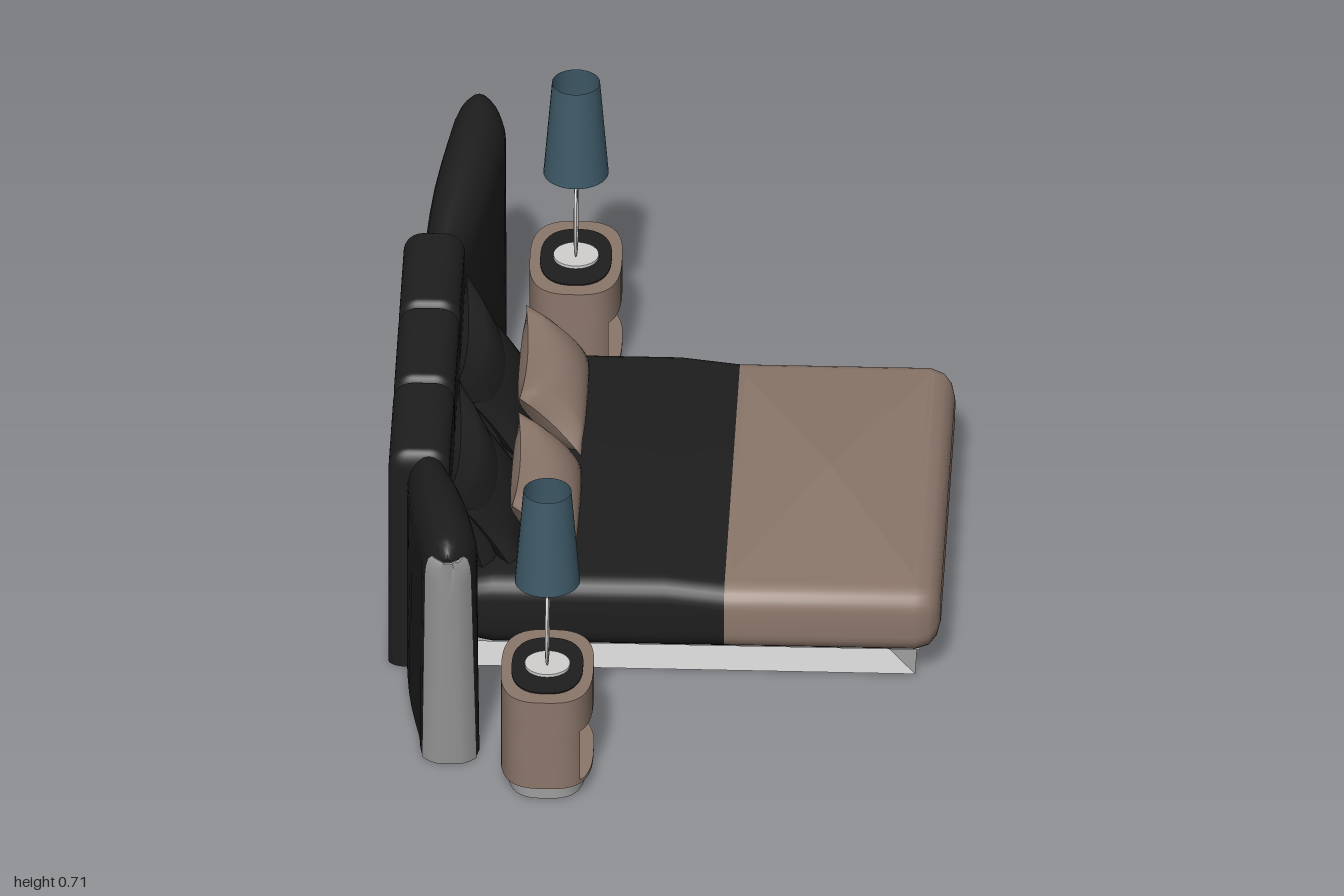
import * as THREE from 'three';
import { toCreasedNormals } from 'three/addons/utils/BufferGeometryUtils.js';
import { RoundedBoxGeometry } from 'three/addons/geometries/RoundedBoxGeometry.js';

const MID = -0.018; // centre line of the bed in z

const mat = (name, color, side = THREE.FrontSide) => {
  const m = new THREE.MeshStandardMaterial({ color, side });
  m.name = name;
  return m;
};
const black = mat('black fabric', 0x1e1e1e);
const brown = mat('taupe fabric', 0x8c776b);
const grey = mat('grey metal', 0x9e9e9e, THREE.DoubleSide);
const teal = mat('teal shade', 0x3e5a68, THREE.DoubleSide);
const pale = mat('pale lamp metal', 0xd2d0ce);

function add(parent, name, geometry, material, x = 0, y = 0, z = 0) {
  const mesh = new THREE.Mesh(geometry, material);
  mesh.name = name;
  mesh.position.set(x, y, z);
  parent.add(mesh);
  return mesh;
}

// Closed solid through equal-length rings of [x, y, z] points, with both ends capped
function loft(rings, crease = 0.7) {
  const n = rings[0].length, pts = rings.flat(), idx = [];
  for (let r = 0; r < rings.length - 1; r++) {
    for (let i = 0; i < n; i++) {
      const a = r * n + i, b = r * n + (i + 1) % n;
      idx.push(a, b, b + n, a, b + n, a + n);
    }
  }
  [0, rings.length - 1].forEach((r) => {
    const c = pts.length;
    pts.push([0, 1, 2].map((k) => rings[r].reduce((s, p) => s + p[k], 0) / n));
    for (let i = 0; i < n; i++) {
      const a = r * n + i, b = r * n + (i + 1) % n;
      idx.push(...(r ? [a, b, c] : [b, a, c]));
    }
  });
  // turn the faces outward when the enclosed volume comes out negative
  const v = pts.map((p) => new THREE.Vector3(...p));
  let volume = 0;
  for (let i = 0; i < idx.length; i += 3) {
    volume += v[idx[i]].dot(new THREE.Vector3().crossVectors(v[idx[i + 1]], v[idx[i + 2]]));
  }
  if (volume < 0) idx.reverse();
  const g = new THREE.BufferGeometry().setFromPoints(v);
  g.setIndex(idx);
  return toCreasedNormals(g, crease);
}

// Rounded rectangle of [a, b] pairs running round the corners
function roundRect(a0, a1, b0, b1, r, steps = 6) {
  const out = [];
  [[a1, b1], [a0, b1], [a0, b0], [a1, b0]].forEach(([a, b], q) => {
    const ca = a === a1 ? a1 - r : a0 + r, cb = b === b1 ? b1 - r : b0 + r;
    for (let i = 0; i <= steps; i++) {
      const t = (q + i / steps) * Math.PI / 2;
      out.push([ca + r * Math.cos(t), cb + r * Math.sin(t)]);
    }
  });
  return out;
}

// Softly squared oval, as [x, z] pairs starting at the front
function oval(a, b, power = 2.9) {
  const bend = (c) => Math.sign(c) * Math.pow(Math.abs(c), 2 / power);
  return Array.from({ length: 48 }, (_, i) => {
    const t = (i + 0.5) / 48 * Math.PI * 2;
    return [a * bend(Math.cos(t)), b * bend(Math.sin(t))];
  });
}

// Horizontal slab from a plan outline in x and z, with an optional hole
function slab(outline, y0, y1, hole) {
  const vec = (o) => o.map((p) => new THREE.Vector2(p[0], p[1]));
  const shape = new THREE.Shape(vec(outline));
  if (hole) shape.holes.push(new THREE.Path(vec(hole)));
  const g = new THREE.ExtrudeGeometry(shape, { depth: y1 - y0, bevelEnabled: false });
  return toCreasedNormals(g.rotateX(-Math.PI / 2).translate(0, y0, 0), 0.6);
}

function makeMattress(bed) {
  const ring = ([x, top, inset]) => roundRect(-0.49 + inset, 0.49 - inset, 0.065 + inset, top - inset, 0.05 - inset * 0.3)
    .map(([z, y]) => [x, y, z + MID]);
  add(bed, 'blackCover', loft([[-0.5, 0.235, 0.03], [-0.45, 0.235, 0.01], [-0.38, 0.24, 0], [0, 0.24, 0], [0.13, 0.225, 0]].map(ring)), black);
  add(bed, 'taupeCover', loft([[0.13, 0.225, 0], [0.55, 0.225, 0], [0.58, 0.224, 0.008], [0.597, 0.224, 0.025], [0.605, 0.224, 0.05]].map(ring)), brown);
  // shallow four-sided swell on the foot half
  const swell = new THREE.ConeGeometry(Math.SQRT1_2, 1, 4, 1, true).rotateY(Math.PI / 4).scale(0.43, 0.033, 0.88).toNonIndexed();
  swell.computeVertexNormals();
  add(bed, 'coverSwell', swell, brown, 0.345, 0.2395, MID);
}

// Waisted base with a ledge under the mattress, open toward the headboard
function makeBase(bed) {
  const rows = [[0.55, 0.455, 0], [0.48, 0.405, 0.045], [0.56, 0.455, 0.063], [0.44, 0.35, 0.063]];
  const pts = [], idx = [];
  rows.forEach(([x, z, y]) => pts.push([-0.47, y, z], [x, y, z], [x, y, -z], [-0.47, y, -z]));
  for (let r = 0; r < 3; r++) {
    for (let i = 0; i < 3; i++) {
      const a = r * 4 + i;
      idx.push(a, a + 1, a + 5, a, a + 5, a + 4);
    }
  }
  let g = new THREE.BufferGeometry().setFromPoints(pts.map((p) => new THREE.Vector3(...p)));
  g.setIndex(idx);
  g = g.toNonIndexed();
  g.computeVertexNormals();
  add(bed, 'baseSkirt', g, grey, 0, 0, MID);
}

// One upright section of a headboard wing; u runs from the root (0) to the tip (1)
function wingSection(u, side, grow = 0, maxY = 1) {
  const cx = -0.523 + 0.061 * Math.min(1, u * 1.25);
  const swell = 0.047 + 0.018 * Math.sin(Math.min(1, u * 1.8) * Math.PI / 2);
  const half = swell * Math.sqrt(1 - Math.pow(Math.max(0, (u - 0.86) / 0.15), 2)) + grow;
  const top = 0.54 + 0.08 * Math.sin(Math.min(1, u / 0.9) * Math.PI / 2) - 0.03 * Math.pow(Math.max(0, (u - 0.9) / 0.1), 2);
  const taper = 0.25 * Math.max(0, (u - 0.8) / 0.2);
  const round = 0.09;
  const prof = [[-half, 0], [-half, 0.25], [-half, top - round]];
  for (let i = 1; i < 12; i++) {
    const t = Math.PI * i / 12;
    prof.push([-half * Math.cos(t), top - round + round * Math.sin(t)]);
  }
  prof.push([half, top - round], [half, 0.25], [half, 0]);
  return prof.map(([x, y]) => [
    cx + x * (1 - taper * y / 0.6),
    Math.min(y, maxY),
    MID + side * (0.45 + u * (0.41 + 0.1 * y / 0.6 + grow)),
  ]);
}

function makeHeadboard(bed) {
  const board = new THREE.Group();
  board.name = 'headboard';
  bed.add(board);
  // three upholstered centre panels
  for (let i = -1; i <= 1; i++) {
    const g = new RoundedBoxGeometry(0.135, 0.6, 0.57, 5, 0.045).scale(1, 1, 0.55);
    const p = g.attributes.position;
    for (let k = 0; k < p.count; k++) p.setY(k, Math.max(p.getY(k), -0.255)); // flat foot on the floor
    add(board, 'centrePanel', g, black, -0.543, 0.255, MID + i * 0.31);
  }
  // flared wings with grey end trims
  for (const side of [1, -1]) {
    const us = [0, 0.15, 0.3, 0.45, 0.6, 0.75, 0.86, 0.91, 0.95, 0.98, 1];
    add(board, 'wing', loft(us.map((u) => wingSection(u, side))), black);
    add(board, 'wingTrim', loft([0.935, 0.95, 0.98, 1].map((u) => wingSection(u, side, 0.004, 0.58))), grey);
  }
}

// Cushion with pinched edges and pointed corners, facing +x and leaning back
function makePillow(bed, name, material, [w, h, t], [x, y, z], tilt, pinch = 0.16) {
  const g = new THREE.BoxGeometry(2, 2, 2, 16, 12, 1);
  const p = g.attributes.position;
  for (let i = 0; i < p.count; i++) {
    const u = p.getX(i), v = p.getY(i);
    const swell = Math.pow(Math.max(0, (1 - u * u) * (1 - v * v)), 0.45);
    p.setXYZ(i, u * w / 2 * (1 - 0.1 * (1 - v * v)), v * h / 2 * (1 - pinch * (1 - u * u)), Math.sign(p.getZ(i)) * swell * t / 2);
  }
  g.rotateY(Math.PI / 2).rotateZ(tilt);
  g.computeVertexNormals();
  add(bed, name, g, material, x, y, z);
}

function makeNightstand(side) {
  const stand = new THREE.Group();
  stand.name = 'nightstand';
  stand.position.set(-0.245, 0, side * 0.847);
  const outline = oval(0.102, 0.153);
  // hollow plinth under a dark underside
  add(stand, 'plinth', slab(oval(0.086, 0.136), 0, 0.037, oval(0.078, 0.128)), grey);
  add(stand, 'underside', slab(oval(0.078, 0.128), 0.03, 0.037), black);
  add(stand, 'floorBoard', slab(outline, 0.035, 0.043), brown);
  add(stand, 'drawer', slab(outline, 0.17, 0.258), brown);
  add(stand, 'topInset', slab(oval(0.079, 0.115, 2.5), 0.256, 0.261), black);
  // walls round an open niche that faces the foot of the bed
  const rim = outline.filter((p) => p[0] < 0.08);
  const wall = [...rim, [0.07, -0.117], [-0.06, -0.117], [-0.06, 0.117], [0.07, 0.117]];
  add(stand, 'nicheWall', slab(wall, 0.043, 0.17), brown);
  add(stand, 'nicheCeiling', new THREE.BoxGeometry(0.135, 0.004, 0.23), black, 0.008, 0.168, 0);
  add(stand, 'nicheInnerSide', new THREE.BoxGeometry(0.13, 0.122, 0.004), black, 0.005, 0.106, -side * 0.115);

  // lamp with an oval hoop for a stem
  const lamp = new THREE.Group();
  lamp.name = 'lamp';
  stand.add(lamp);
  add(lamp, 'lampFoot', new THREE.CylinderGeometry(0.05, 0.05, 0.008, 32), pale, 0, 0.264, 0);
  const hoop = new THREE.TorusGeometry(0.046, 0.0075, 8, 40).rotateY(Math.PI / 2).scale(0.5, 1.8, 1);
  add(lamp, 'hoop', hoop, pale, 0, 0.362, 0);
  add(lamp, 'stem', new THREE.CylinderGeometry(0.004, 0.004, 0.05, 10), pale, 0, 0.477, 0);
  add(lamp, 'shade', new THREE.CylinderGeometry(0.053, 0.072, 0.233, 32, 1, true), teal, 0, 0.598, 0);
  return stand;
}

export function createModel() {
  const model = new THREE.Group();
  model.name = 'bedroomSet';
  const bed = new THREE.Group();
  bed.name = 'bed';
  model.add(bed);
  makeMattress(bed);
  makeBase(bed);
  makeHeadboard(bed);
  for (const z of [0.2, -0.245]) {
    makePillow(bed, 'backPillow', black, [0.44, 0.29, 0.12], [-0.43, 0.315, z], 0.3, 0.28);
    makePillow(bed, 'middlePillow', black, [0.42, 0.22, 0.08], [-0.385, 0.295, z], 0.6);
    makePillow(bed, 'frontPillow', brown, [0.39, 0.2, 0.135], [-0.272, 0.316, z], 0.75);
  }
  model.add(makeNightstand(1), makeNightstand(-1));
  return model;
}
